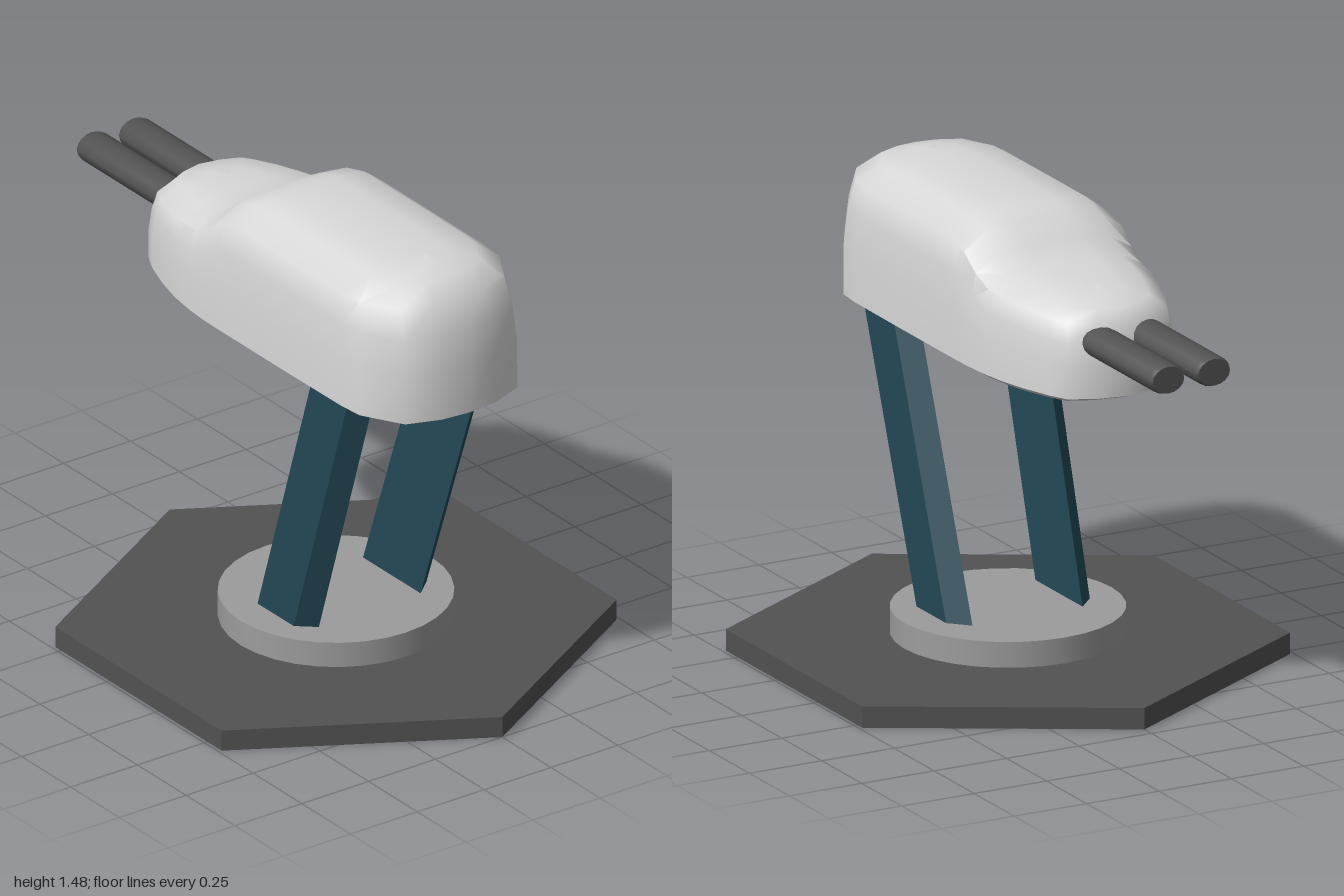
import * as THREE from 'three';
import { toCreasedNormals } from 'three/addons/utils/BufferGeometryUtils.js';

function paint(name, color, side = THREE.FrontSide) {
  const m = new THREE.MeshStandardMaterial({ color, side });
  m.name = name;
  return m;
}

function interp(table, v) {
  for (let i = 0; i < table.length - 1; i++) {
    const [a, fa] = table[i], [b, fb] = table[i + 1];
    if (v <= a && v >= b) return fa + (fb - fa) * (a - v) / (a - b);
  }
  return v > table[0][0] ? table[0][1] : table[table.length - 1][1];
}

// Closed surface through rings of equal point count
function loft(rings, closed = true) {
  const n = rings[0].length, index = [];
  for (let r = 0; r < rings.length - 1; r++) {
    for (let k = 0; k < n; k++) {
      const k2 = (k + 1) % n;
      const a = r * n + k, b = r * n + k2, c = a + n, d = b + n;
      index.push(a, b, d, a, d, c);
    }
  }
  const g = new THREE.BufferGeometry();
  g.setAttribute('position', new THREE.Float32BufferAttribute(rings.flat(2), 3));
  g.setIndex(index);
  return g;
}

// Housing: plan outline raised in rings up to a stepped roof line
function housingGeometry() {
  const half = [[0.84, 0], [0.83, 0.1], [0.79, 0.21], [0.66, 0.285], [0.58, 0.293], [0.3, 0.295],
    [0.1, 0.295], [0.02, 0.295], [-0.03, 0.295], [-0.07, 0.295], [-0.14, 0.293], [-0.21, 0.288],
    [-0.3, 0.275], [-0.4, 0.25], [-0.5, 0.215], [-0.56, 0.185], [-0.6, 0.1], [-0.62, 0]];
  const outline = [...half, ...half.slice(1, -1).reverse().map(([z, x]) => [z, -x])];
  const roof = [[0.9, 1.475], [0.02, 1.475], [-0.07, 1.45], [-0.14, 1.39], [-0.21, 1.352],
    [-0.4, 1.333], [-0.62, 1.305]];
  // Keep the middle in place and pull only the two ends in
  const ends = (z, front, back) => {
    if (z > 0.3) return 0.3 + (z - 0.3) * (front - 0.3) / 0.54;
    if (z < -0.3) return -0.3 + (z + 0.3) * (back + 0.3) / -0.32;
    return z;
  };
  // [width scale, front z, back z, height fraction or fixed floor height]
  const rows = [[0, 0.6, -0.45, 0, 1.01], [0.9, 0.79, -0.57, 0, 1.018], [1, 0.84, -0.62, 0, 1.037],
    [1, 0.837, -0.62, 0.37], [0.97, 0.822, -0.61, 0.62], [0.92, 0.79, -0.59, 0.83],
    [0.67, 0.73, -0.56, 0.955], [0.33, 0.66, -0.48, 0.985], [0, 0.6, -0.4, 1]];
  const rings = rows.map(([s, f, b, t, floor]) => outline.map(([z0, x]) => {
    const z = ends(z0, f, b);
    return [x * s, floor ?? 1.037 + (interp(roof, z) - 1.037) * t, z];
  }));
  return toCreasedNormals(loft(rings), 0.85);
}

// Leaning leg with a trapezoid section, narrower on its outer face
function legGeometry(side) {
  const ring = (y) => {
    const dz = (y - 0.15) * 0.339, dx = (y - 0.15) * 0.018;
    const section = [[0.19, 0.32], [0.248, 0.27], [0.248, 0.085], [0.19, 0.025]];
    const points = section.map(([x, z]) => [side * (x + dx), y, z + dz]);
    return side > 0 ? points : points.reverse();
  };
  return toCreasedNormals(loft([ring(0.14), ring(1.06)]), 0.2);
}

export function createModel() {
  const group = new THREE.Group();
  const shell = paint('pale grey', 0xd8d8d8);
  const steel = paint('dark grey', 0x525252, THREE.DoubleSide);
  const disc = paint('mid grey', 0x9c9c9c, THREE.DoubleSide);
  const teal = paint('deep teal', 0x234856, THREE.DoubleSide);
  const add = (name, geometry, material, x = 0, y = 0, z = 0) => {
    const mesh = new THREE.Mesh(geometry, material);
    mesh.name = name;
    mesh.position.set(x, y, z);
    group.add(mesh);
    return mesh;
  };
  const baseZ = 0.147, R = 0.853, H = 0.068;

  // Hexagonal base, open underneath, with a round opening for the turntable
  const rim = new THREE.CylinderGeometry(R, R, H, 6, 1, true);
  add('baseRim', toCreasedNormals(rim, 0.3), steel, 0, H / 2, baseZ);
  const hex = new THREE.Shape();
  for (let i = 0; i < 6; i++) {
    const a = i * Math.PI / 3;
    hex[i ? 'lineTo' : 'moveTo'](R * Math.sin(a), R * Math.cos(a));
  }
  hex.closePath();
  const hole = new THREE.Path();
  hole.absarc(0, 0, 0.357, 0, Math.PI * 2, true);
  hex.holes.push(hole);
  const plate = new THREE.ShapeGeometry(hex, 16).rotateX(-Math.PI / 2);
  add('basePlate', plate, steel, 0, H, baseZ);

  // Turntable, hollow below with a dark ceiling
  const wall = new THREE.CylinderGeometry(0.358, 0.358, 0.15 - H, 32, 1, true);
  add('turntableWall', wall, disc, 0, (0.15 + H) / 2, baseZ);
  const lid = new THREE.CircleGeometry(0.358, 32).rotateX(-Math.PI / 2);
  add('turntableTop', lid, disc, 0, 0.15, baseZ);
  const ceiling = new THREE.CircleGeometry(0.357, 32).rotateX(Math.PI / 2);
  add('turntableCeiling', ceiling, steel, 0, 0.138, baseZ);

  // Legs and twin barrels
  for (const side of [1, -1]) {
    const label = side > 0 ? 'left' : 'right';
    add(label + 'Leg', legGeometry(side), teal);
    const profile = [[0, -0.44], [0.94, -0.44], [0.94, -0.985], [0.85, -1], [0, -1]]
      .map(([r, z]) => new THREE.Vector2(r, -z));
    const barrel = new THREE.LatheGeometry(profile, 16).rotateX(-Math.PI / 2).scale(0.064, 0.05, 1);
    add(label + 'Barrel', toCreasedNormals(barrel, 0.6), steel, side * 0.079, 1.208, 0);
  }

  add('housing', housingGeometry(), shell);
  return group;
}
